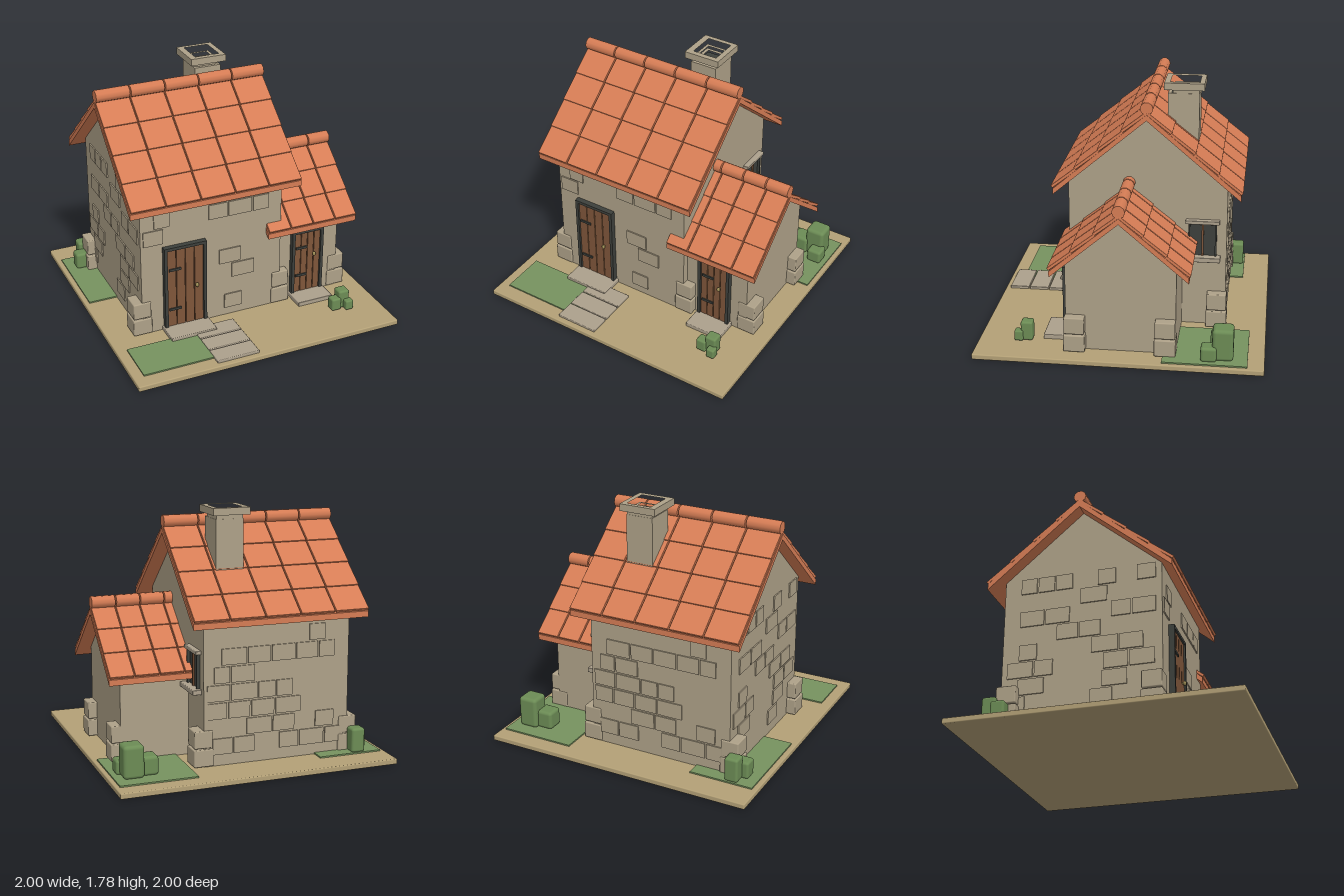
import * as THREE from 'three';
import { RoundedBoxGeometry } from 'three/addons/geometries/RoundedBoxGeometry.js';

const mat = (name, color) => {
  const m = new THREE.MeshStandardMaterial({ color });
  m.name = name;
  return m;
};

export function createModel() {
  const root = new THREE.Group();
  root.name = 'cottage';
  const wall = mat('wall stone', 0xaea188), tile = mat('terracotta', 0xd67d55), sand = mat('sandy ground', 0xb3a076),
    grass = mat('grass', 0x76925f), leaf = mat('bush green', 0x6c8c55), wood = mat('brown wood', 0x7f563a),
    dark = mat('dark iron', 0x3d403c), brass = mat('brass', 0x9c8c55), slab = mat('pale stone', 0xaca08c);

  let seed = 7;
  const rand = () => (seed = (seed * 16807) % 2147483647) / 2147483647;

  const add = (name, geo, material, x = 0, y = 0, z = 0, parent = root) => {
    const m = new THREE.Mesh(geo, material);
    m.name = name;
    m.position.set(x, y, z);
    parent.add(m);
    return m;
  };
  // box from its limits on each axis, with an optional rounded edge
  const block = (name, material, [x0, x1], [y0, y1], [z0, z1], r = 0, parent = root) => {
    const s = [x1 - x0, y1 - y0, z1 - z0];
    const geo = r ? new RoundedBoxGeometry(...s, 2, r) : new THREE.BoxGeometry(...s);
    return add(name, geo, material, (x0 + x1) / 2, (y0 + y1) / 2, (z0 + z1) / 2, parent);
  };
  // profile in (z, y), extruded along x
  const alongX = (name, pts, x0, x1, material) => {
    const shape = new THREE.Shape(pts.map(([z, y]) => new THREE.Vector2(-z, y)));
    const geo = new THREE.ExtrudeGeometry(shape, { depth: x1 - x0, bevelEnabled: false });
    geo.rotateY(Math.PI / 2);
    return add(name, geo, material, x0);
  };

  // ground, lawns and paving
  block('groundSlab', sand, [-1, 1], [0, 0.04], [-1, 1], 0.008);
  block('frontLawn', grass, [-0.925, -0.3], [0.035, 0.05], [0.565, 0.895]);
  block('backLawn', grass, [0.425, 0.97], [0.035, 0.05], [-0.885, -0.305]);
  block('sideLawn', grass, [-0.965, -0.5], [0.035, 0.05], [-0.805, -0.12]);
  block('mainDoorstep', slab, [-0.6, -0.255], [0.035, 0.072], [0.4, 0.605], 0.006);
  block('wingDoorstep', slab, [0.425, 0.705], [0.035, 0.072], [0.36, 0.55], 0.006);
  for (let i = 0; i < 3; i++)
    block('pathStone', slab, [-0.41, -0.095], [0.035, 0.06], [0.52 + i * 0.15, 0.662 + i * 0.15], 0.006);

  // walls with gables
  const house = (name, x0, x1, zc, half, eave, top) => alongX(name,
    [[zc + half, 0.04], [zc + half, eave], [zc, top], [zc - half, eave], [zc - half, 0.04]], x0, x1, wall);
  house('mainWalls', -0.75, 0.325, -0.14, 0.56, 1.1, 1.58);
  house('wingWalls', 0.3, 0.82, -0.01, 0.38, 0.69, 1.015);

  // slightly raised wall stones, spread over one wall face
  const wallStones = (axis, at, [a0, a1], [y0, y1], density) => {
    for (let y = y0, row = 0; y + 0.1 <= y1; y += 0.125, row++)
      for (let a = a0 + (row % 2) * 0.08; a + 0.11 < a1;) {
        const len = Math.min(0.11 + rand() * 0.08, a1 - a);
        if (rand() < density) {
          const span = [a, a + len], h = [y, y + 0.112], d = [at - 0.009, at + 0.009];
          block('wallStone', wall, axis === 'z' ? span : d, h, axis === 'z' ? d : span);
        }
        a += len + 0.012;
      }
  };
  wallStones('z', 0.42, [-0.24, 0.24], [0.1, 0.98], 0.35);
  wallStones('z', 0.42, [-0.73, -0.26], [0.74, 1.0], 0.35);
  wallStones('z', -0.7, [-0.72, 0.3], [0.12, 1.02], 0.5);
  wallStones('x', -0.75, [-0.66, 0.38], [0.12, 1.1], 0.5);
  wallStones('x', 0.82, [-0.2, 0.22], [0.29, 0.5], 0.2);

  // corner stones, two stacked at each corner
  for (const [x, z] of [[-0.75, 0.36], [0.328, 0.36], [-0.75, -0.64], [0.328, -0.64], [0.82, 0.305], [0.82, -0.32]])
    for (let i = 0; i < 2; i++) {
      const w = 0.07 - i * 0.004, y = 0.045 + i * 0.13;
      block('cornerStone', wall, [x - w, x + w], [y, y + 0.122], [z - w - 0.004, z + w + 0.004], 0.008);
    }

  // tiled gable roof: slab, rows of tiles and a segmented ridge
  const roof = (name, x0, x1, zc, half, eave, cols, rows, capY) => {
    const rise = half * 0.85, t = 0.042, a = Math.atan(0.85), w = (x1 - x0) / cols;
    alongX(name + 'Slab', [[zc + half, eave], [zc + half, eave + t], [zc, eave + t + rise],
      [zc - half, eave + t], [zc - half, eave], [zc, eave + rise]], x0, x1, tile);
    const len = Math.hypot(half, rise) / rows;
    const tileGeo = new RoundedBoxGeometry(w - 0.008, 0.022, len + 0.004, 1, 0.004);
    const capGeo = new THREE.CylinderGeometry(0.045, 0.045, w - 0.01, 10).rotateZ(Math.PI / 2);
    for (let c = 0; c < cols; c++) {
      const x = x0 + (c + 0.5) * w;
      for (const side of [1, -1])
        for (let r = 0; r < rows; r++) {
          const k = (r + 0.5) / rows;
          const m = add(name + 'Tile', tileGeo, tile, x, eave + t + rise * (1 - k) + 0.011, zc + side * (half * k + 0.004));
          m.rotation.x = side * (a - 0.04);
        }
      add(name + 'RidgeCap', capGeo, tile, x, capY, zc);
    }
  };
  roof('mainRoof', -0.85, 0.43, -0.14, 0.655, 1.02, 5, 4, 1.66);
  roof('wingRoof', 0.208, 0.92, -0.01, 0.472, 0.61, 4, 3, 1.095);

  // plank doors with frame, strap hinges and knob
  const door = (name, x0, x1, top, z, hinges) => {
    const g = new THREE.Group();
    g.name = name;
    root.add(g);
    const f = 0.023, y0 = 0.07, n = 4, w = (x1 - x0 - 2 * f) / n;
    block('doorBack', dark, [x0 + f, x1 - f], [y0, top - f], [z - 0.01, z + 0.012], 0, g);
    for (const x of [x0, x1 - f]) block('doorPost', dark, [x, x + f], [y0, top], [z - 0.01, z + 0.04], 0, g);
    block('doorHead', dark, [x0 + f, x1 - f], [top - f, top], [z - 0.01, z + 0.04], 0, g);
    for (let i = 0; i < n; i++)
      block('doorPlank', wood, [x0 + f + i * w + 0.003, x0 + f + (i + 1) * w - 0.003], [y0, top - f], [z, z + 0.028], 0, g);
    for (const y of hinges) block('doorHinge', dark, [x0 + 0.035, x0 + 0.125], [y - 0.009, y + 0.009], [z + 0.02, z + 0.037], 0, g);
    const knob = add('doorKnob', new THREE.SphereGeometry(0.013, 10, 8), brass, x1 - f - 0.055, 0.375, z + 0.045, g);
    knob.scale.y = 1.3;
    block('knobStem', brass, [x1 - f - 0.06, x1 - f - 0.05], [0.37, 0.38], [z + 0.02, z + 0.045], 0, g);
  };
  door('mainDoor', -0.59, -0.27, 0.71, 0.42, [0.53, 0.21]);
  door('wingDoor', 0.435, 0.69, 0.585, 0.37, [0.44, 0.21]);

  // side window
  block('windowGlass', dark, [0.32, 0.333], [0.57, 0.82], [-0.63, -0.43]);
  for (const z of [-0.63, -0.442]) block('windowJamb', dark, [0.32, 0.352], [0.57, 0.82], [z, z + 0.012]);
  block('windowBar', wood, [0.32, 0.345], [0.57, 0.82], [-0.538, -0.524]);
  block('windowLintel', slab, [0.31, 0.365], [0.815, 0.842], [-0.65, -0.41], 0.005);
  block('windowSill', slab, [0.31, 0.39], [0.54, 0.575], [-0.66, -0.395], 0.005);

  // hollow chimney with a ring cap
  const ring = (name, [x0, x1], [y0, y1], [z0, z1], [hx0, hx1], [hz0, hz1]) => {
    const rect = (a, b, c, d, P) => new P([[a, c], [b, c], [b, d], [a, d]].map(p => new THREE.Vector2(p[0], -p[1])));
    const s = rect(x0, x1, z0, z1, THREE.Shape);
    s.holes.push(rect(hx0, hx1, hz0, hz1, THREE.Path));
    add(name, new THREE.ExtrudeGeometry(s, { depth: y1 - y0, bevelEnabled: false }).rotateX(-Math.PI / 2), wall, 0, y0);
  };
  ring('chimneyShaft', [-0.045, 0.155], [1.2, 1.7], [-0.48, -0.26], [-0.02, 0.13], [-0.455, -0.285]);
  ring('chimneyNeck', [-0.042, 0.152], [1.695, 1.735], [-0.478, -0.295], [-0.02, 0.13], [-0.455, -0.315]);
  ring('chimneyCap', [-0.082, 0.187], [1.73, 1.78], [-0.515, -0.235], [-0.035, 0.148], [-0.48, -0.275]);
  block('chimneyFlue', dark, [-0.03, 0.14], [1.3, 1.68], [-0.465, -0.275]);

  // bushes: centre x, z, width, top
  for (const [x, z, w, top] of [[0.725, -0.69, 0.13, 0.18], [0.84, -0.715, 0.145, 0.275], [0.88, -0.62, 0.11, 0.15],
    [0.65, 0.68, 0.075, 0.14], [0.718, 0.66, 0.085, 0.185], [0.742, 0.715, 0.062, 0.12],
    [-0.845, -0.665, 0.1, 0.17], [-0.8, -0.745, 0.1, 0.22]])
    block('bush', leaf, [x - w / 2, x + w / 2], [0.045, top], [z - w / 2, z + w / 2], w * 0.18);

  return root;
}
